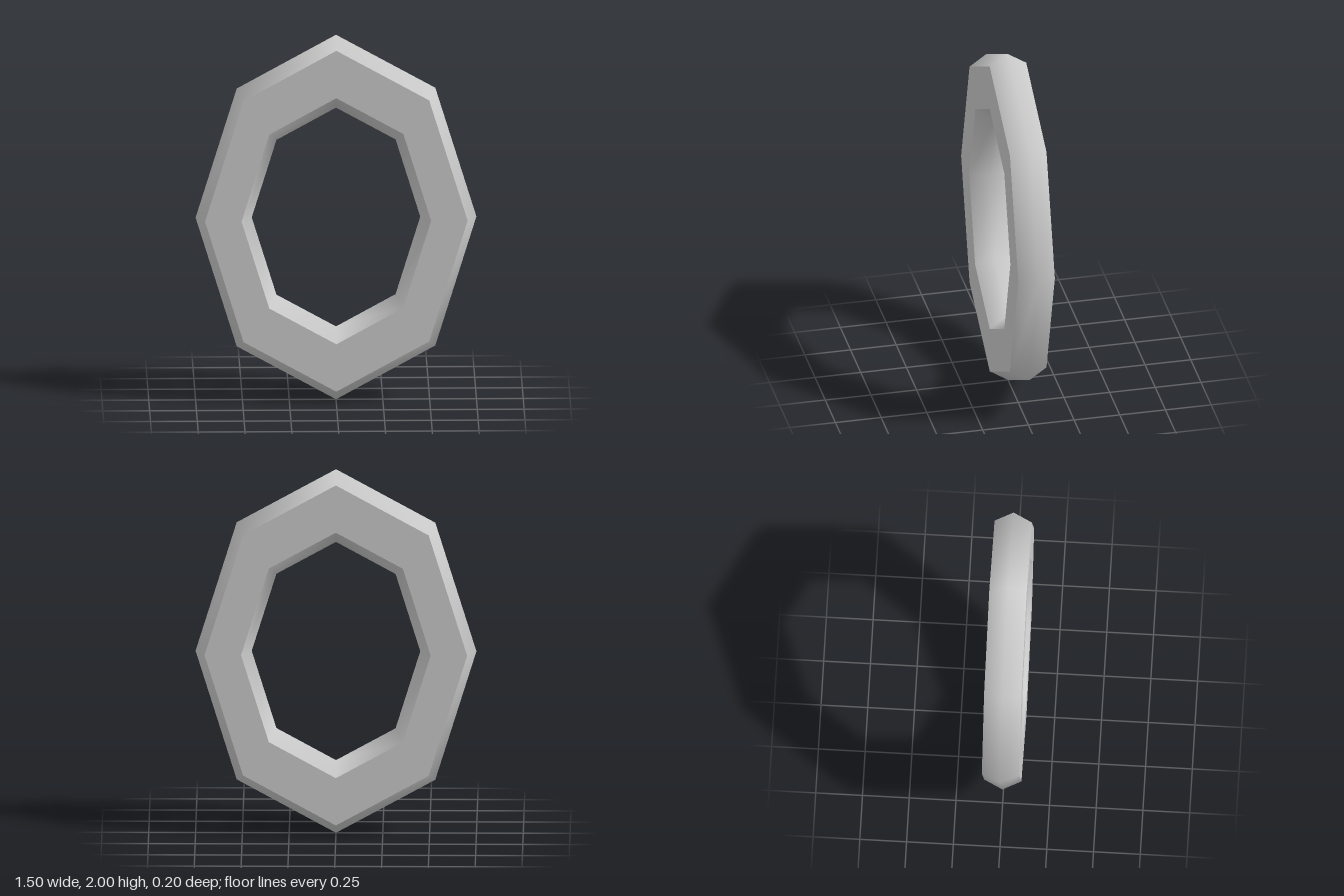
import * as THREE from 'three';

const material = new THREE.MeshStandardMaterial({ color: 0xcccccc });

// Eight-sided band around the z axis, squeezed to an oval; profile holds [radius, z] pairs
function band(name, profile) {
  const points = profile.map(([r, z]) => new THREE.Vector2(r, z));
  const geometry = new THREE.LatheGeometry(points, 8);
  geometry.rotateX(Math.PI / 2);
  geometry.scale(0.75, 1, 1);
  const mesh = new THREE.Mesh(geometry, material);
  mesh.name = name;
  return mesh;
}

export function createModel() {
  const link = new THREE.Group();
  link.name = 'ovalRing';

  const half = 0.1; // half thickness
  const outer = 0.935, outerRidge = 1;
  const inner = 0.675, innerRidge = 0.6;

  // Bevelled rims are smooth across their ridges; the flat faces stay sharp
  link.add(
    band('outerRim', [[outer, -half], [outerRidge, 0], [outer, half]]),
    band('frontFace', [[outer, half], [inner, half]]),
    band('innerRim', [[inner, half], [innerRidge, 0], [inner, -half]]),
    band('backFace', [[inner, -half], [outer, -half]])
  );

  // Stand on the ground
  link.position.y = 1;

  const model = new THREE.Group();
  model.name = 'model';
  model.add(link);
  return model;
}
